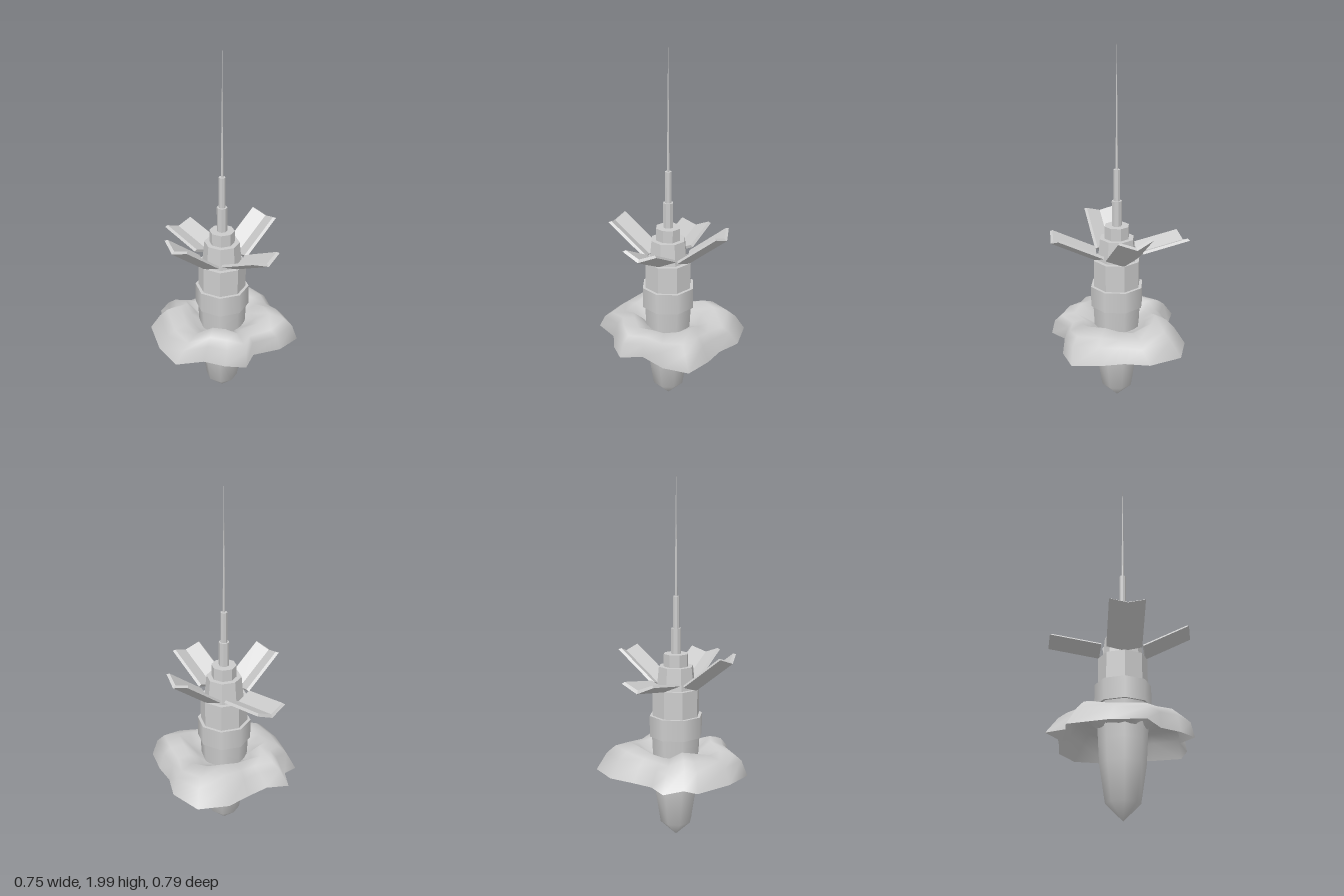
import * as THREE from 'three';

const AXIS_X = 0.014;
const SIDES = 8;

function material(options = {}) {
  return new THREE.MeshStandardMaterial({ color: 0xcccccc, ...options });
}

// Eight-sided drum between two heights, with corners on the axes
function drum(name, rBottom, rTop, y0, y1, flatShading = true) {
  const geometry = new THREE.CylinderGeometry(rTop, rBottom, y1 - y0, SIDES);
  const mesh = new THREE.Mesh(geometry, material({ flatShading }));
  mesh.name = name;
  mesh.position.y = (y0 + y1) / 2;
  return mesh;
}

// V-section panel running outward along +z, its tip bevelled on the upper side
function finGeometry(length) {
  const slope = 0.45;
  const section = [[0, 0], [0.093, 0.042], [0.081, 0.053], [0, 0.019], [-0.081, 0.053], [-0.093, 0.042]];
  const shape = new THREE.Shape(section.map(([x, y]) => new THREE.Vector2(x, y)));
  const geometry = new THREE.ExtrudeGeometry(shape, { depth: length, bevelEnabled: false });
  const p = geometry.attributes.position;
  for (let i = 0; i < p.count; i++) {
    const isTop = p.getY(i) > slope * Math.abs(p.getX(i)) + 0.005;
    if (isTop && p.getZ(i) > length / 2) p.setZ(i, length - 0.006);
  }
  geometry.computeVertexNormals();
  return geometry;
}

// Irregular open skirt: an outline shrunk inward ring by ring, sinking towards the body
function skirtGeometry() {
  const outline = [
    [0.095, 0.393], [0.172, 0.263], [0.276, 0.203], [0.357, 0.124], [0.3, 0.02], [0.357, -0.126],
    [0.347, -0.268], [0.2, -0.318], [0.082, -0.335], [-0.039, -0.393], [-0.222, -0.366],
    [-0.304, -0.218], [-0.304, -0.08], [-0.31, 0.04], [-0.372, 0.145], [-0.274, 0.207],
    [-0.274, 0.288], [-0.08, 0.372],
  ];
  // scale of the outline, height, strength of the radial folds, sideways shift
  const rings = [
    [1, 0.39, 0, 0], [0.895, 0.472, 0.01, 0.02], [0.79, 0.507, 0.017, 0.022],
    [0.6, 0.525, 0.023, 0.015], [0.43, 0.482, 0.014, 0.005],
  ];
  const n = outline.length;
  const positions = [];
  const indices = [];
  const fold = (a) => -Math.cos(4 * a);
  for (const [scale, y, depth, shift] of rings) {
    for (const [x, z] of outline) {
      const dx = x - AXIS_X;
      positions.push(dx * scale + shift, y + depth * fold(Math.atan2(z, dx)), z * scale);
    }
  }
  // inner edge tucked inside the body
  for (const [x, z] of outline) {
    const a = Math.atan2(z, x - AXIS_X);
    positions.push(0.115 * Math.cos(a), 0.455, 0.115 * Math.sin(a));
  }
  for (let r = 0; r < rings.length; r++) {
    for (let i = 0; i < n; i++) {
      const a = r * n + i;
      const b = r * n + (i + 1) % n;
      indices.push(a, b, b + n, a, b + n, a + n);
    }
  }
  const geometry = new THREE.BufferGeometry();
  geometry.setAttribute('position', new THREE.Float32BufferAttribute(positions, 3));
  geometry.setIndex(indices);
  geometry.computeVertexNormals();
  return geometry;
}

export function createModel() {
  const model = new THREE.Group();
  model.name = 'probe';
  model.position.x = AXIS_X;

  // Pointed lower body
  const profile = [[0, 0.003], [0.088, 0.087], [0.118, 0.28], [0.125, 0.39], [0.135, 0.59]];
  const lowerBody = new THREE.Mesh(
    new THREE.LatheGeometry(profile.map(([r, y]) => new THREE.Vector2(r, y)), SIDES),
    material({ side: THREE.DoubleSide }),
  );
  lowerBody.name = 'lowerBody';
  model.add(lowerBody);

  // Debris skirt around the body
  const skirt = new THREE.Mesh(skirtGeometry(), material({ side: THREE.DoubleSide }));
  skirt.name = 'skirt';
  model.add(skirt);

  // Stacked upper body and stepped antenna
  const drums = [
    ['collar', 0.147, 0.147, 0.582, 0.697, false],
    ['upperBody', 0.13, 0.13, 0.697, 0.845],
    ['head', 0.107, 0.095, 0.845, 0.965],
    ['headCap', 0.068, 0.068, 0.965, 1.033],
    ['mastBase', 0.028, 0.028, 1.033, 1.17],
    ['mastMiddle', 0.018, 0.018, 1.17, 1.34],
    ['needle', 0.007, 0.0005, 1.34, 1.99],
  ];
  for (const d of drums) model.add(drum(...d));

  // Four raised fins: name, turn about y, tilt in degrees, inner distance, inner height
  const fins = [
    ['frontFin', 0, 38.5, 0.124, 0.841],
    ['leftFin', 90, 27, 0.121, 0.848],
    ['backFin', 180, 38.5, 0.122, 0.841],
    ['rightFin', 270, 10, 0.126, 0.845],
  ];
  const panel = finGeometry(0.27);
  for (const [name, turn, tilt, distance, height] of fins) {
    const fin = new THREE.Group();
    fin.name = name;
    fin.rotation.y = THREE.MathUtils.degToRad(turn);
    const mesh = new THREE.Mesh(panel, material({ flatShading: true }));
    mesh.name = 'finPanel';
    mesh.position.set(0, height, distance);
    mesh.rotation.x = -THREE.MathUtils.degToRad(tilt);
    fin.add(mesh);
    model.add(fin);
  }

  const root = new THREE.Group();
  root.add(model);
  return root;
}
